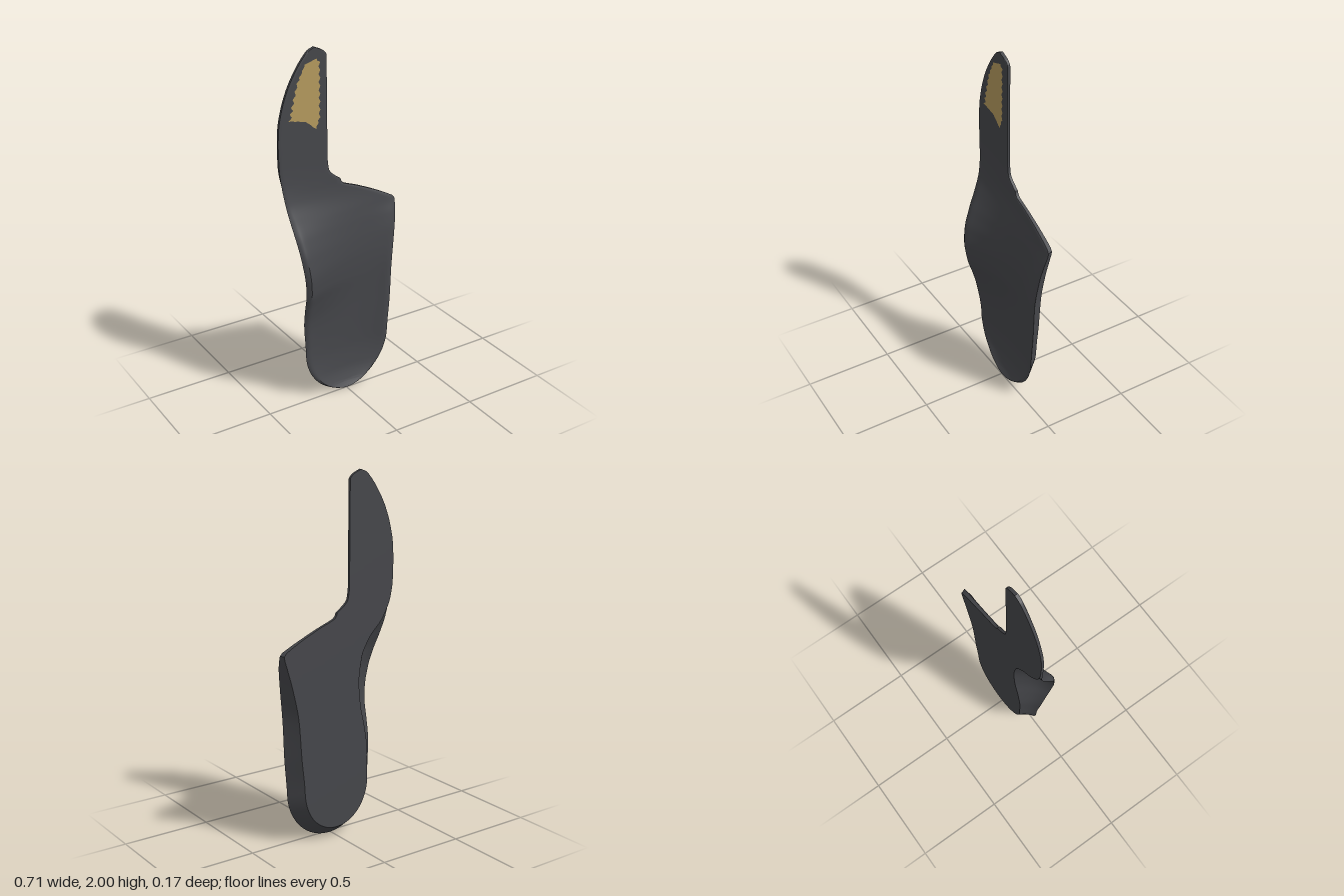
import * as THREE from 'three';
import { toCreasedNormals } from 'three/addons/utils/BufferGeometryUtils.js';

// Smooth curve without overshoot through [y, value] pairs
function profile(p) {
  const n = p.length;
  const d = [];
  for (let i = 0; i < n - 1; i++) d.push((p[i + 1][1] - p[i][1]) / (p[i + 1][0] - p[i][0]));
  const m = p.map((_, i) => {
    if (i === 0) return d[0];
    if (i === n - 1) return d[n - 2];
    return d[i - 1] * d[i] <= 0 ? 0 : (2 * d[i - 1] * d[i]) / (d[i - 1] + d[i]);
  });
  return (y) => {
    let i = 0;
    while (i < n - 2 && y > p[i + 1][0]) i++;
    const h = p[i + 1][0] - p[i][0];
    const t = THREE.MathUtils.clamp((y - p[i][0]) / h, 0, 1);
    const t2 = t * t, t3 = t2 * t;
    return (2 * t3 - 3 * t2 + 1) * p[i][1] + (t3 - 2 * t2 + t) * h * m[i]
      + (3 * t2 - 2 * t3) * p[i + 1][1] + (t3 - t2) * h * m[i + 1];
  };
}

// Outline of the rim, inset of the flat base, and heights along the length
const leftX = profile([[0, -0.25], [0.3, -0.256], [0.5, -0.275], [0.7, -0.285], [0.9, -0.307], [1.2, -0.338],
  [1.4, -0.358], [1.5, -0.36], [1.6, -0.355], [1.7, -0.335], [1.8, -0.3], [1.9, -0.245], [1.96, -0.2], [1.985, -0.175], [2, -0.14]]);
const rightX = profile([[0, 0.275], [0.3, 0.287], [0.5, 0.302], [0.7, 0.31], [0.9, 0.333], [1.07, 0.355], [1.085, 0.352],
  [1.1, 0.33], [1.15, 0.23], [1.2, 0.115], [1.24, 0.02], [1.265, 0.01], [1.285, -0.02], [1.33, -0.06],
  [1.4, -0.068], [1.95, -0.07], [1.975, -0.088], [2, -0.14]]);
const leftInset = profile([[0, 0.05], [0.3, 0.06], [0.45, 0.075], [0.6, 0.105], [0.75, 0.145], [0.9, 0.17],
  [1, 0.165], [1.1, 0.125], [1.2, 0.045], [1.3, 0.008], [1.4, 0], [2, 0]]);
const rightInset = profile([[0, 0.05], [0.3, 0.065], [0.7, 0.055], [1, 0.025], [1.08, 0.01], [1.2, 0], [2, 0]]);
const leftZ = profile([[0, 0], [0.3, 0.002], [0.4, 0.01], [0.5, 0.025], [0.6, 0.052], [0.7, 0.083], [0.8, 0.094],
  [0.9, 0.08], [1, 0.042], [1.1, -0.01], [1.2, -0.052], [1.3, -0.07], [1.4, -0.075], [2, -0.075]]);
const rightZ = profile([[0, 0], [0.7, 0], [0.9, -0.015], [1, -0.035], [1.08, -0.06], [1.2, -0.072], [1.4, -0.075], [2, -0.075]]);
const floorZ = profile([[0, 0], [0.04, -0.022], [0.12, -0.045], [0.25, -0.055], [0.5, -0.05], [0.8, -0.045],
  [1, -0.055], [1.2, -0.07], [1.4, -0.075], [2, -0.075]]);
const leftPower = profile([[0, 5], [0.3, 4.5], [0.7, 2.3], [1.1, 2], [2, 2]]);
const BASE_Z = -0.093;
const HEEL = 0.28;

// One closed loop: front surface left to right, right wall, base, left wall
function section(y) {
  const k = y < HEEL ? Math.sqrt(1 - (1 - y / HEEL) ** 2) : 1;
  const cx = 0.01;
  const squeeze = (x) => cx + (x - cx) * k;
  const xl = squeeze(leftX(y)), xr = squeeze(rightX(y));
  const bl = squeeze(leftX(y) + leftInset(y)), br = squeeze(rightX(y) - rightInset(y));
  const zl = leftZ(y), zr = rightZ(y), zf = floorZ(y), pl = leftPower(y);
  const yb = y + 0.06 * Math.max(0, 1 - y / 0.5);
  const pts = [];
  const FRONT = 28, WALL = 6, BASE = 6;
  // rounded lip along both rims
  const lip = (u, z) => 0.18 * (z - BASE_Z) * Math.max(0, 1 - u / 0.06) ** 2;
  for (let i = 0; i <= FRONT; i++) {
    const s = i / FRONT;
    const u = 0.5 * s + 0.25 * (1 - Math.cos(Math.PI * s));
    const z = zf + (zl - zf) * (1 - u) ** pl + (zr - zf) * u ** 5 - lip(u, zl) - lip(1 - u, zr);
    pts.push([xl + (xr - xl) * u, y, z]);
  }
  // walls hollow inwards where the base is strongly undercut
  const wall = (top, base, t, inset) => {
    const bend = 0.16 * inset * Math.sin(Math.PI * t);
    return [top[0] + (base - top[0]) * t, y + (yb - y) * t, top[2] + (BASE_Z - top[2]) * t + bend];
  };
  const first = pts[0], last = pts[FRONT];
  for (let i = 1; i <= WALL; i++) pts.push(wall(last, br, i / WALL, 0));
  for (let i = 1; i <= BASE; i++) pts.push([br + (bl - br) * i / BASE, yb, BASE_Z]);
  for (let i = WALL - 1; i > 0; i--) pts.push(wall(first, bl, i / WALL, leftInset(y) * k));
  return pts;
}

function insoleGeometry() {
  const ROWS = 200;
  const positions = [], index = [];
  let n = 0;
  for (let r = 0; r <= ROWS; r++) {
    const y = 1 - Math.cos(Math.PI * r / ROWS);
    const pts = section(y);
    n = pts.length;
    pts.forEach((p) => positions.push(...p));
  }
  for (let r = 0; r < ROWS; r++) {
    for (let i = 0; i < n; i++) {
      const a = r * n + i, b = r * n + (i + 1) % n;
      index.push(a, b, b + n, a, b + n, a + n);
    }
  }
  const geo = new THREE.BufferGeometry();
  geo.setAttribute('position', new THREE.Float32BufferAttribute(positions, 3));
  geo.setIndex(index);
  return toCreasedNormals(geo, 0.6);
}

// Thin ragged patch of colour near the tip
function patchGeometry() {
  const corners = [[-0.13, 1.94], [-0.11, 1.92], [-0.112, 1.63], [-0.135, 1.57], [-0.2, 1.62],
    [-0.3, 1.64], [-0.285, 1.71], [-0.25, 1.83], [-0.2, 1.92]].map(([x, y]) => new THREE.Vector2(x, y));
  const pts = [];
  corners.forEach((a, i) => {
    const b = corners[(i + 1) % corners.length];
    const steps = Math.max(2, 2 * Math.round(a.distanceTo(b) / 0.04));
    for (let j = 0; j < steps; j++) {
      const p = a.clone().lerp(b, j / steps);
      if (j % 2) p.lerp(new THREE.Vector2(-0.18, p.y), 0.15);
      pts.push(p);
    }
  });
  return new THREE.ShapeGeometry(new THREE.Shape(pts));
}

export function createModel() {
  const group = new THREE.Group();
  group.name = 'insole';

  const body = new THREE.Mesh(insoleGeometry(), new THREE.MeshStandardMaterial({ color: 0x46474b }));
  body.name = 'insoleShell';
  group.add(body);

  const patch = new THREE.Mesh(patchGeometry(), new THREE.MeshStandardMaterial({ color: 0xb59a5e }));
  patch.name = 'toePatch';
  patch.position.z = -0.073;
  group.add(patch);

  return group;
}
